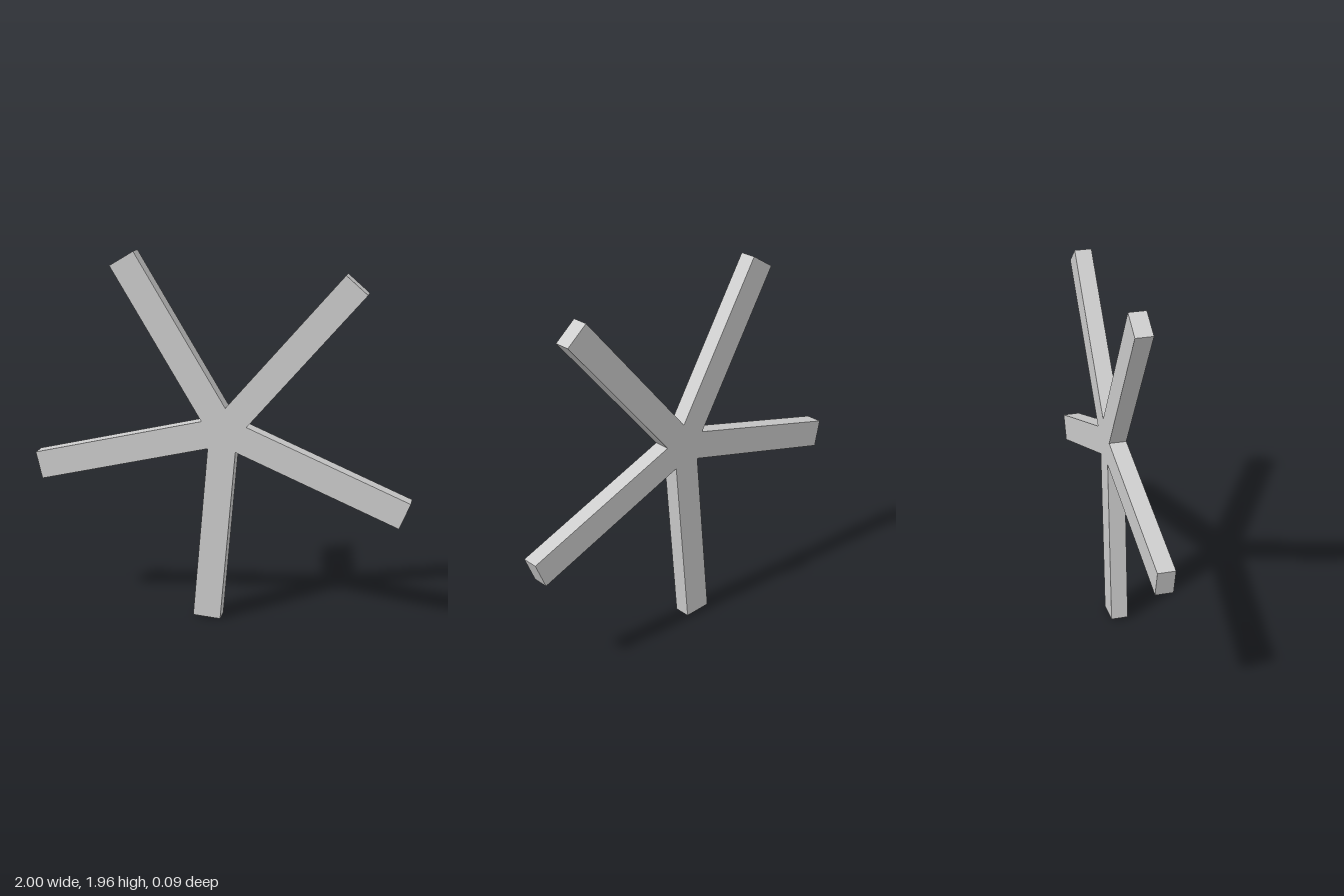
import * as THREE from 'three';

export function createModel() {
  const group = new THREE.Group();
  const arms = 5, reach = 1.0315, half = 0.0737, depth = 0.091;
  const step = (Math.PI * 2) / arms;
  const start = THREE.MathUtils.degToRad(49);
  const notch = half / Math.sin(step / 2); // inner corner between two arms

  // outline: two tip corners per arm, then the notch before the next arm
  const points = [];
  for (let i = 0; i < arms; i++) {
    const a = start + i * step;
    const c = Math.cos(a), s = Math.sin(a);
    for (const side of [-half, half]) {
      points.push(new THREE.Vector2(reach * c - side * s, reach * s + side * c));
    }
    const b = a + step / 2;
    points.push(new THREE.Vector2(notch * Math.cos(b), notch * Math.sin(b)));
  }

  // five-armed star plate
  const geometry = new THREE.ExtrudeGeometry(new THREE.Shape(points), { depth, bevelEnabled: false });
  geometry.translate(0, 0, -depth / 2);
  const star = new THREE.Mesh(
    geometry,
    new THREE.MeshStandardMaterial({ color: 0xcccccc, flatShading: true })
  );
  star.name = 'fiveArmedStar';
  star.position.set(0.0217, 1.0338, 0);
  group.add(star);
  return group;
}
